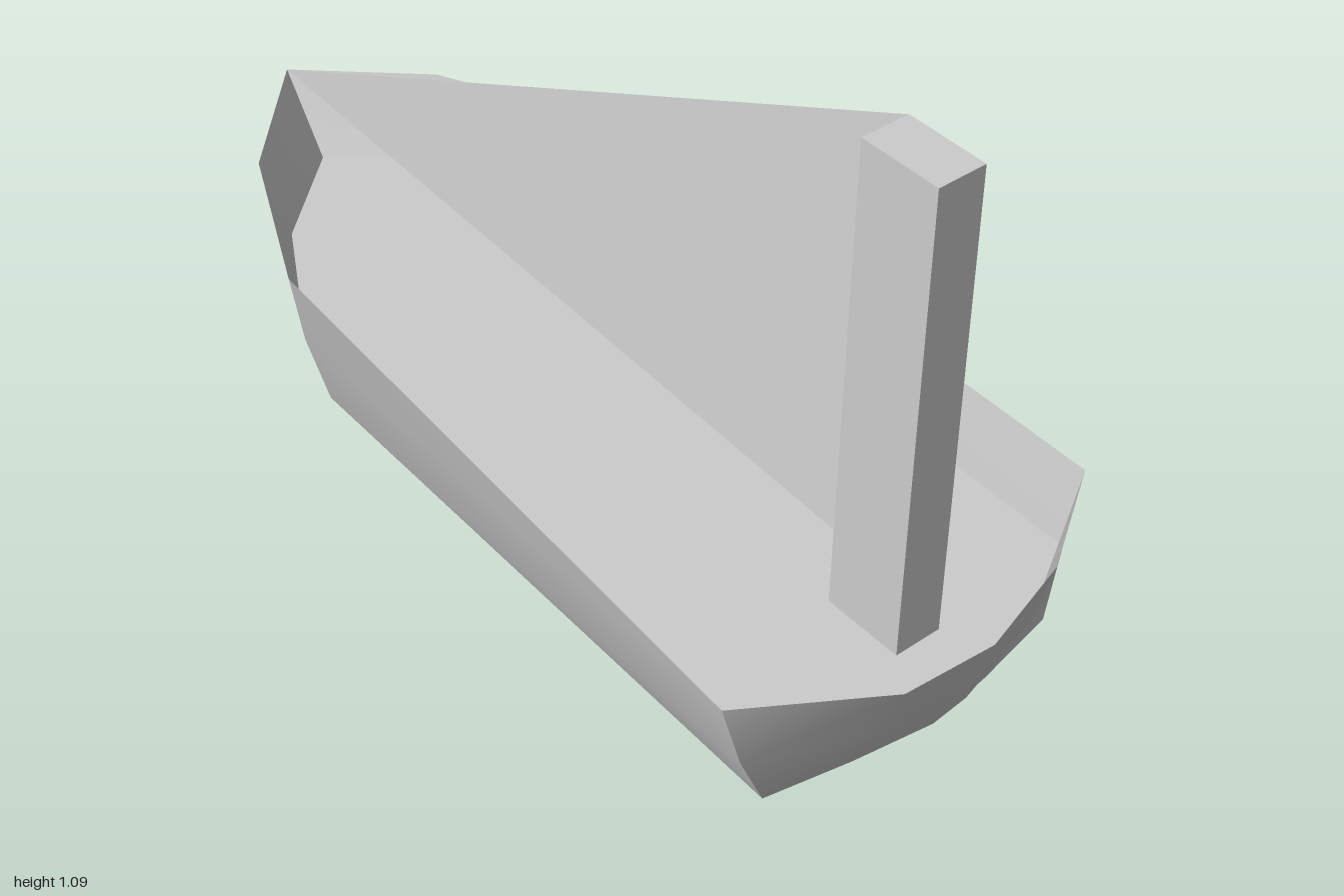
import * as THREE from 'three';
import { toCreasedNormals } from 'three/addons/utils/BufferGeometryUtils.js';

const material = new THREE.MeshStandardMaterial({ color: 0xcccccc, side: THREE.DoubleSide });

// Hull outlines as [x, z], from the bow round the left side, stern and right side
const rim = [[0.04, -1], [0.26, -0.8], [0.415, -0.49], [0.403, 0.81], [0.2, 0.94],
  [0, 1], [-0.18, 0.988], [-0.418, 0.84], [-0.335, -0.44], [-0.18, -0.77]];
const waist = [[0.04, -0.89], [0.25, -0.73], [0.387, -0.48], [0.372, 0.81], [0.2, 0.9],
  [0, 0.955], [-0.12, 0.935], [-0.37, 0.835], [-0.31, -0.44], [-0.15, -0.72]];
const keel = [[0.04, -0.77], [0.22, -0.66], [0.36, -0.46], [0.345, 0.81], [0.17, 0.845],
  [0.03, 0.865], [-0.13, 0.842], [-0.295, 0.81], [-0.27, -0.43], [-0.14, -0.66]];

function polyMesh(name, points, index) {
  const g = new THREE.BufferGeometry();
  g.setAttribute('position', new THREE.Float32BufferAttribute(points.flat(), 3));
  g.setIndex(index);
  const mesh = new THREE.Mesh(toCreasedNormals(g, 0.6), material);
  mesh.name = name;
  return mesh;
}

// Side walls joining outlines stacked from bottom to top
function walls(name, rings) {
  const n = rim.length;
  const points = rings.flatMap(([outline, y]) => outline.map(([x, z]) => [x, y, z]));
  const index = [];
  for (let r = 0; r < rings.length - 1; r++) {
    for (let i = 0; i < n; i++) {
      const a = r * n + i, b = r * n + (i + 1) % n;
      index.push(a, a + n, b, b, a + n, b + n);
    }
  }
  return polyMesh(name, points, index);
}

// Flat floor filling one outline
function floor(name, outline, y, up) {
  const points = [...outline.map(([x, z]) => [x, y, z]), [0.03, y, 0.1]];
  const n = outline.length;
  const index = [];
  for (let i = 0; i < n; i++) {
    const j = (i + 1) % n;
    index.push(n, up ? j : i, up ? i : j);
  }
  return polyMesh(name, points, index);
}

export function createModel() {
  const boat = new THREE.Group();
  boat.name = 'sailboat';

  // Open hull with a deck at its waist
  boat.add(walls('hullSides', [[keel, 0.002], [waist, 0.157], [rim, 0.31]]));
  boat.add(floor('hullBottom', keel, 0.002, false));
  boat.add(floor('deck', waist, 0.157, true));

  // Small sliver along the left side near the stern
  boat.add(polyMesh('sideLedge',
    [[0.373, 0.16, 0.8], [0.378, 0.157, 0.57], [0.377, 0.13, 0.52], [0.375, 0.13, 0.66]],
    [0, 2, 1, 0, 3, 2]));

  // Square mast running down to the hull bottom
  const mast = new THREE.Mesh(new THREE.BoxGeometry(0.095, 1.09, 0.16), material);
  mast.name = 'mast';
  mast.position.set(0.025, 0.545, 0.739);
  boat.add(mast);

  // Sail: a thin wedge from the mast to the bow tip
  boat.add(polyMesh('sail',
    [[0.04, 0.31, -1], [0.072, 1.09, 0.66], [-0.018, 0.31, 0.66], [0.072, 0.31, 0.66]],
    [0, 2, 1, 0, 1, 3, 0, 3, 2, 1, 2, 3]));

  return boat;
}
